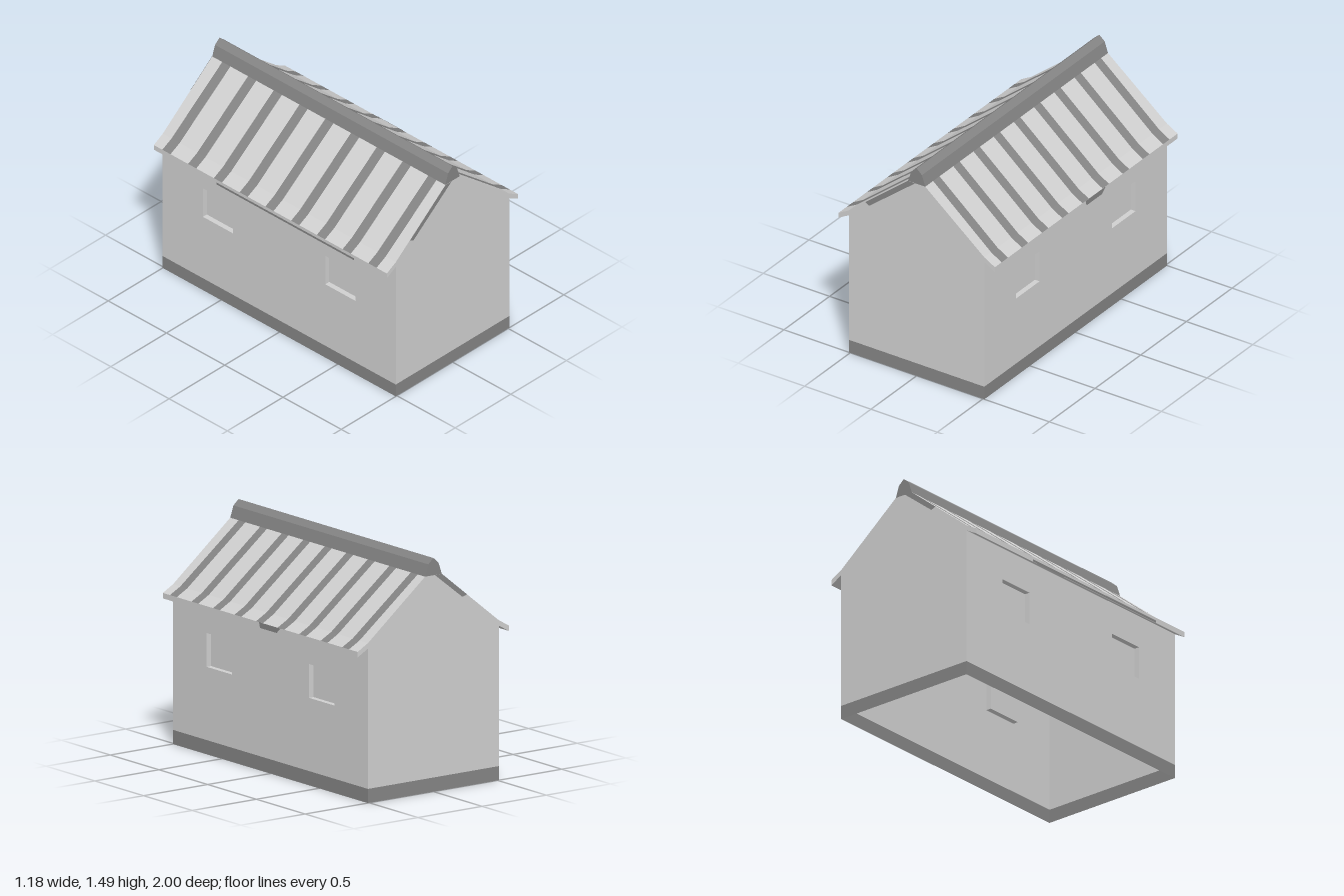
import * as THREE from 'three';

const WALL_X = 0.51, BASE_Y = 0.09, HALF_Z = 1, WALL_TOP = 0.985;
const WINDOW = { y0: 0.557, y1: 0.773, depth: 0.035, spans: [[0.395, 0.655], [-0.655, -0.395]] };
// half roof section from the ridge down to the eave edge
const SLOPE = [[0.065, 1.38], [WALL_X, 1.02], [0.59, 0.975]];
const EAVE_BOTTOM = [0.59, 0.94];

// one geometry from a list of four-cornered faces, corners counter-clockwise from outside
function quads(list) {
  const pos = [];
  for (const [a, b, c, d] of list) pos.push(...a, ...b, ...c, ...a, ...c, ...d);
  const g = new THREE.BufferGeometry();
  g.setAttribute('position', new THREE.Float32BufferAttribute(pos, 3));
  g.computeVertexNormals();
  return g;
}

const flat = (pts, holes = []) => {
  const s = new THREE.Shape(pts.map(p => new THREE.Vector2(...p)));
  for (const h of holes) s.holes.push(new THREE.Path(h.map(p => new THREE.Vector2(...p))));
  return new THREE.ShapeGeometry(s);
};

const rect = (u0, u1, v0, v1) => [[u0, v0], [u1, v0], [u1, v1], [u0, v1]];

// face on the +x side running along z between two section points (low, high)
const along = (lo, hi, z1 = HALF_Z, z0 = -HALF_Z) =>
  [[...lo, z1], [...lo, z0], [...hi, z0], [...hi, z1]];

export function createModel() {
  const light = new THREE.MeshStandardMaterial({ color: 0xcfcfcf, side: THREE.DoubleSide });
  light.name = 'light grey plaster';
  const dark = new THREE.MeshStandardMaterial({ color: 0x848484, side: THREE.DoubleSide });
  dark.name = 'dark grey trim';

  const house = new THREE.Group();
  house.name = 'house';
  const add = (parent, name, geometry, material) => {
    const m = new THREE.Mesh(geometry, material);
    m.name = name;
    parent.add(m);
    return m;
  };

  // long wall with recessed windows, roof slope and eave, built on +x
  function longSide(name, patch) {
    const side = new THREE.Group();
    side.name = name;

    const { y0, y1, depth, spans } = WINDOW;
    const wall = flat(rect(-HALF_Z, HALF_Z, BASE_Y, WALL_TOP),
      spans.map(([a, b]) => rect(-b, -a, y0, y1)));
    add(side, 'longWall', wall.rotateY(Math.PI / 2).translate(WALL_X, 0, 0), light);
    add(side, 'longBase', quads([along([WALL_X, 0], [WALL_X, BASE_Y])]), dark);

    const inner = WALL_X - depth;
    for (const [z0, z1] of spans) {
      const ring = [[y0, z1], [y0, z0], [y1, z0], [y1, z1]];
      const faces = ring.map((p, i) => {
        const q = ring[(i + 1) % 4];
        return [[WALL_X, ...p], [WALL_X, ...q], [inner, ...q], [inner, ...p]];
      });
      faces.push(ring.map(p => [inner, ...p]));
      add(side, 'windowRecess', quads(faces), light);
    }

    // roof split into alternating light and dark strips that lean slightly along z
    const tiles = [], stripes = [];
    for (let s = 0; s < 2; s++) {
      const hi = SLOPE[s], lo = SLOPE[s + 1];
      const lean = p => 0.013 * (p[0] - SLOPE[0][0]) / (SLOPE[2][0] - SLOPE[0][0]);
      const strip = (a, b) => {
        const z = (v, p) => (Math.abs(v) === HALF_Z ? v : v + lean(p));
        return [[...lo, z(b, lo)], [...lo, z(a, lo)], [...hi, z(a, hi)], [...hi, z(b, hi)]];
      };
      let from = -HALF_Z;
      for (let i = 0; i < 9; i++) {
        const c = -0.889 + 0.221 * i;
        tiles.push(strip(from, c - 0.035));
        stripes.push(strip(c - 0.035, c + 0.035));
        from = c + 0.035;
      }
      tiles.push(strip(from, HALF_Z));
    }
    add(side, 'roofSlope', quads(tiles), light);
    add(side, 'roofStripes', quads(stripes), dark);

    // eave edge and underside, with a worn dark patch on the edge
    add(side, 'eave', quads([
      along(EAVE_BOTTOM, SLOPE[2]),
      along([WALL_X, WALL_TOP], EAVE_BOTTOM),
    ]), light);
    const x = EAVE_BOTTOM[0] + 0.002;
    add(side, 'eavePatch', quads([patch.map(([y, z]) => [x, y, z])]), dark);
    house.add(side);
    return side;
  }
  longSide('leftSide', [[0.94, 0], [0.94, -0.17], [0.975, -0.21], [0.975, 0.01]]);
  longSide('rightSide', [[0.94, 0.46], [0.94, -0.72], [0.955, -0.72], [0.955, 0.46]])
    .rotation.y = Math.PI;

  // gable end, built on +z, with a dark strip under the roof edge
  function gableEnd(name, strip) {
    const end = new THREE.Group();
    end.name = name;
    const half = [[WALL_X, BASE_Y], [WALL_X, WALL_TOP], EAVE_BOTTOM, SLOPE[2], SLOPE[1], SLOPE[0]];
    const outline = [...half, ...half.map(([x, y]) => [-x, y]).reverse()];
    add(end, 'gableWall', flat(outline).translate(0, 0, HALF_Z), light);
    add(end, 'gableBase', flat(rect(-WALL_X, WALL_X, 0, BASE_Y)).translate(0, 0, HALF_Z), dark);
    add(end, 'gableStrip', flat(strip).translate(0, 0, HALF_Z + 0.002), dark);
    house.add(end);
    return end;
  }
  gableEnd('frontGable', [[-0.065, 1.38], [-0.385, 1.121], [-0.355, 1.105], [-0.01, 1.38]]);
  gableEnd('backGable', [[0.065, 1.38], [0.01, 1.38], [0.225, 1.21], [0.26, 1.222]])
    .rotation.y = Math.PI;

  // ridge cap
  const cap = new THREE.Shape([[-0.065, 1.38], [0.065, 1.38], [0.04, 1.455], [0, 1.49], [-0.04, 1.455]]
    .map(p => new THREE.Vector2(...p)));
  add(house, 'ridgeCap', new THREE.ExtrudeGeometry(cap, { depth: 2 * HALF_Z, bevelEnabled: false })
    .translate(0, 0, -HALF_Z), dark);

  return house;
}
